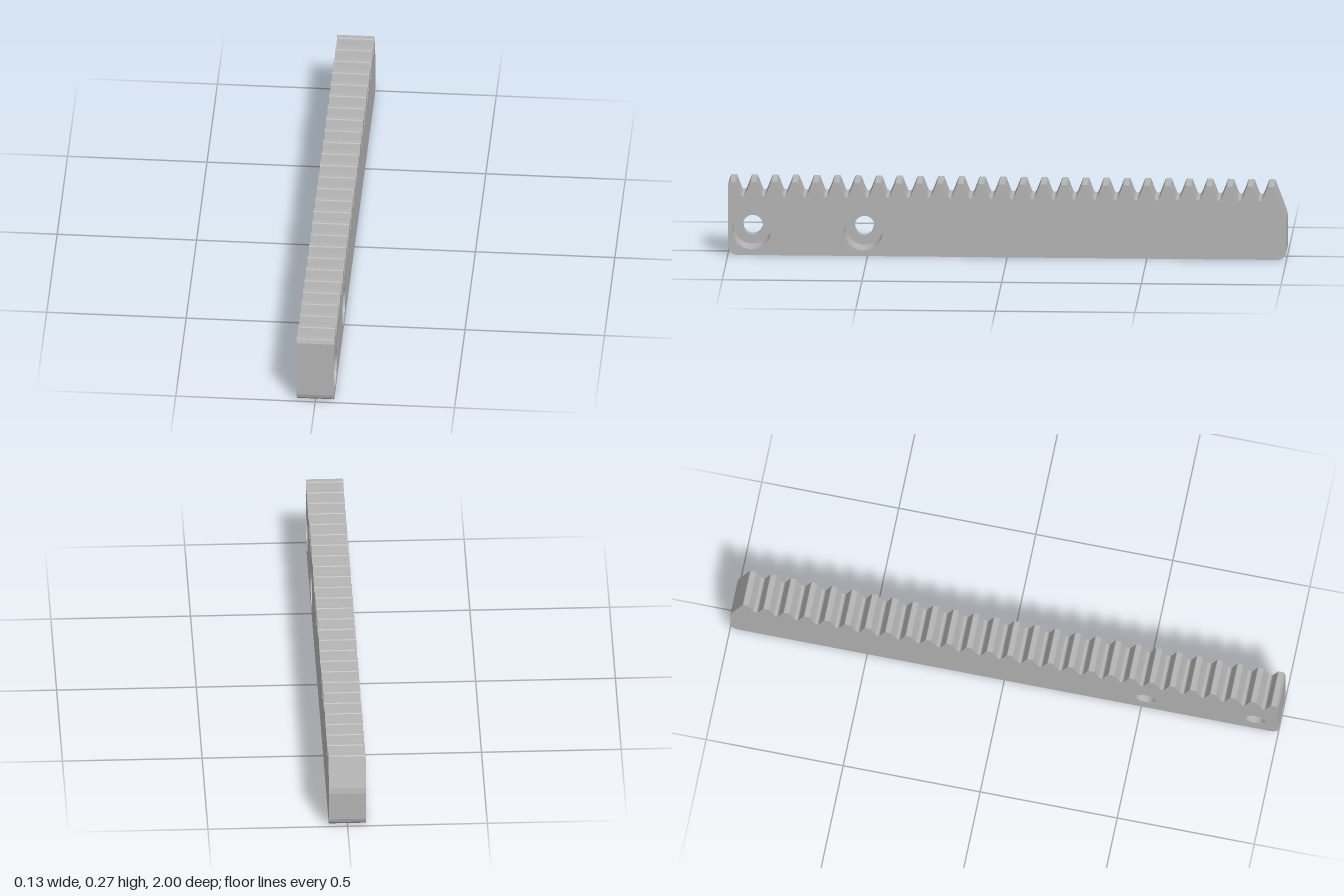
import * as THREE from 'three';

const W = 0.1333;            // thickness along x
const PITCH = 0.0741, TEETH = 27, FIRST = 0.983;
const TIP = 0.267, ROOT = 0.214;
const HOLES = [0.915, 0.515], HOLE_Y = 0.09;
const SMALL_R = 0.036, BIG_R = 0.07, BORE_DEPTH = 0.1;

// Side profile as [z, y] points: toothed top, sloped back end, eased bottom corners
function profile() {
  const p = [[-0.97, 0], [0.97, 0], [0.984, 0.004], [0.996, 0.016], [1, 0.03], [1, 0.25], [0.994, 0.264]];
  // half tooth section: distance from tooth centre and height
  const flank = [[0.009, TIP], [0.0115, 0.264], [0.0175, 0.248], [0.026, 0.226], [0.030, 0.217], [0.034, ROOT]];
  for (let i = 0; i < TEETH; i++) {
    const c = FIRST - i * PITCH;
    if (i > 0) for (const [d, y] of [...flank].reverse()) p.push([c + d, y]);
    else p.push([c + 0.009, TIP]);
    if (i < TEETH - 1) for (const [d, y] of flank) p.push([c - d, y]);
    else p.push([c - 0.009, TIP], [c - 0.012, 0.264]);
  }
  p.push([-0.985, 0.185], [-0.996, 0.155], [-1, 0.135], [-1, 0.03], [-0.996, 0.016], [-0.984, 0.004]);
  return p;
}

// Profile as a shape; s = -1 mirrors it for the opposite face
function makeShape(s, holeRadius) {
  const shape = new THREE.Shape(profile().map(([z, y]) => new THREE.Vector2(s * z, y)));
  if (holeRadius) {
    for (const z of HOLES) {
      const hole = new THREE.Path();
      hole.absarc(s * z, HOLE_Y, holeRadius, 0, Math.PI * 2, true);
      shape.holes.push(hole);
    }
  }
  return shape;
}

export function createModel() {
  const group = new THREE.Group();
  group.name = 'gearRack';
  const steel = new THREE.MeshStandardMaterial({ color: 0xb4b4b4, side: THREE.DoubleSide });
  steel.name = 'steelGrey';
  const add = (name, geometry) => {
    const mesh = new THREE.Mesh(geometry, steel);
    mesh.name = name;
    group.add(mesh);
  };

  // Flat side faces: small holes on the right, wide counterbores on the left
  for (const [s, name, r] of [[1, 'rightFace', SMALL_R], [-1, 'leftFace', BIG_R]]) {
    const face = new THREE.ShapeGeometry(makeShape(s, r), 8);
    face.rotateY(-s * Math.PI / 2).translate(-s * W / 2, 0, 0);
    add(name, face);
  }

  // Teeth, ends and underside: only the walls of the extruded profile
  const solid = new THREE.ExtrudeGeometry(makeShape(1), { depth: W, bevelEnabled: false });
  const { start, count } = solid.groups[1];
  const walls = new THREE.BufferGeometry();
  for (const key of ['position', 'normal']) {
    const data = solid.attributes[key].array.slice(start * 3, (start + count) * 3);
    walls.setAttribute(key, new THREE.BufferAttribute(data, 3));
  }
  walls.rotateY(-Math.PI / 2).translate(W / 2, 0, 0);
  add('toothedRim', walls);

  // Stepped bolt holes
  const floorX = W / 2 - BORE_DEPTH;
  for (const z of HOLES) {
    const tube = (r, x0, x1) => new THREE.CylinderGeometry(r, r, x1 - x0, 16, 1, true)
      .rotateZ(Math.PI / 2).translate((x0 + x1) / 2, HOLE_Y, z);
    add('boltHole', tube(SMALL_R, -W / 2, floorX));
    add('counterbore', tube(BIG_R, floorX, W / 2));
    add('counterboreFloor', new THREE.RingGeometry(SMALL_R, BIG_R, 16)
      .rotateY(Math.PI / 2).translate(floorX, HOLE_Y, z));
  }
  return group;
}
